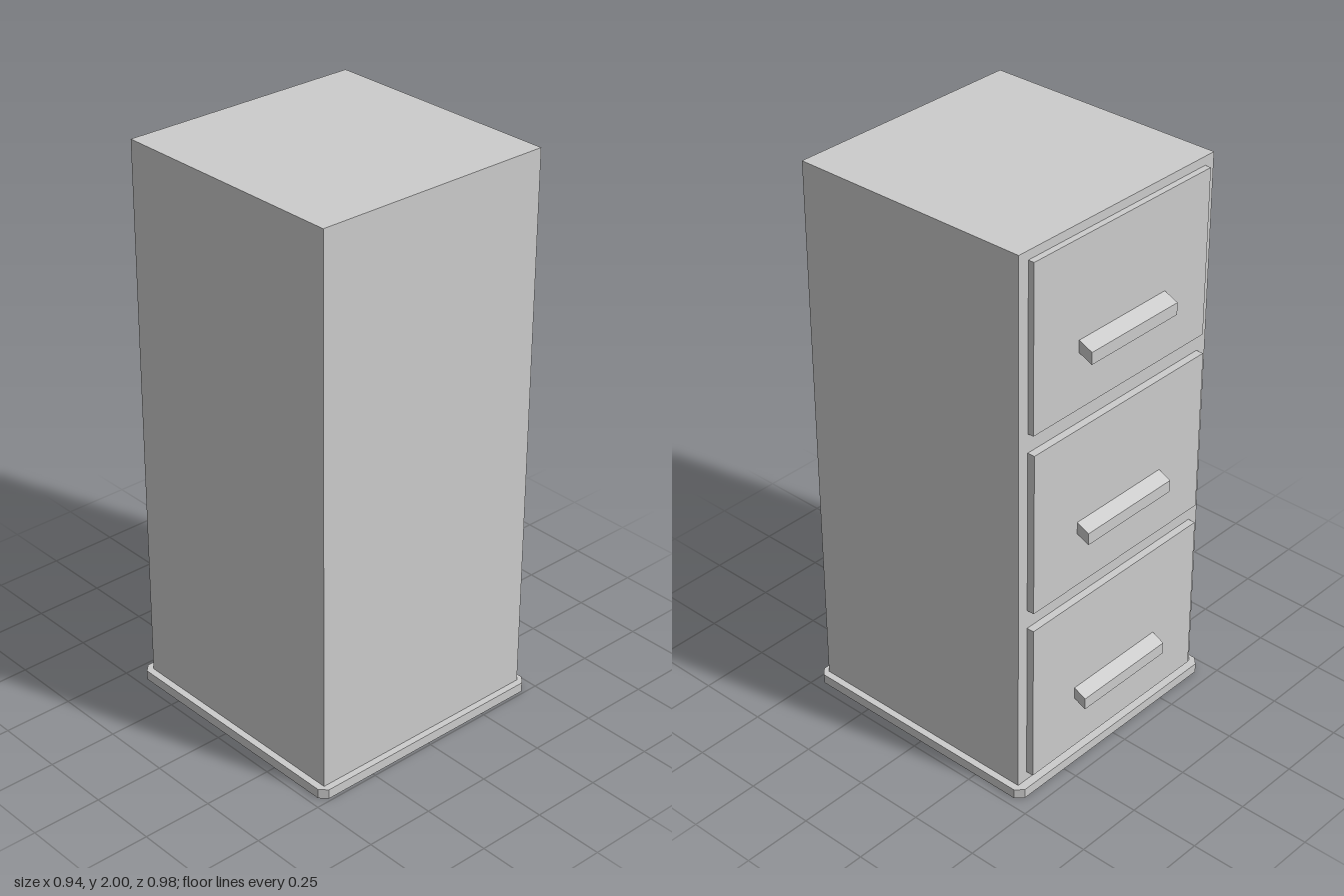
import * as THREE from 'three';

const material = new THREE.MeshStandardMaterial({ color: 0xcccccc, flatShading: true });

function addMesh(parent, name, geometry) {
  const mesh = new THREE.Mesh(geometry, material);
  mesh.name = name;
  parent.add(mesh);
  return mesh;
}

// Box given by its lower and upper limits on each axis
function addBox(parent, name, [x0, x1], [y0, y1], [z0, z1]) {
  const mesh = addMesh(parent, name, new THREE.BoxGeometry(x1 - x0, y1 - y0, z1 - z0));
  mesh.position.set((x0 + x1) / 2, (y0 + y1) / 2, (z0 + z1) / 2);
  return mesh;
}

// Flat plinth with its four corners cut off
function plinthGeometry(halfX, halfZ, cut, height) {
  const shape = new THREE.Shape([
    [halfX, -halfZ + cut], [halfX, halfZ - cut], [halfX - cut, halfZ], [-halfX + cut, halfZ],
    [-halfX, halfZ - cut], [-halfX, -halfZ + cut], [-halfX + cut, -halfZ], [halfX - cut, -halfZ],
  ].map(([x, y]) => new THREE.Vector2(x, y)));
  return new THREE.ExtrudeGeometry(shape, { depth: height, bevelEnabled: false }).rotateX(-Math.PI / 2);
}

// Bar whose outer end droops: box sheared in y along its depth
function handleGeometry(width, height, depth, droop) {
  const geometry = new THREE.BoxGeometry(width, height, depth);
  const p = geometry.attributes.position;
  for (let i = 0; i < p.count; i++) p.setY(i, p.getY(i) + (p.getZ(i) / depth) * droop);
  geometry.computeVertexNormals();
  return geometry;
}

export function createModel() {
  const group = new THREE.Group();
  group.name = 'drawerCabinet';

  // Plinth and carcass
  addMesh(group, 'plinth', plinthGeometry(0.468, 0.469, 0.025, 0.035)).position.z = 0.021;
  addBox(group, 'carcass', [-0.443, 0.443], [0.005, 2], [-0.418, 0.466]);

  // Three drawers on the -z side, each with a handle
  const drawers = [
    { name: 'bottomDrawer', y: [0.067, 0.656], face: -0.445, handleY: 0.279 },
    { name: 'middleDrawer', y: [0.725, 1.313], face: -0.445, handleY: 0.936 },
    { name: 'topDrawer', y: [1.381, 1.969], face: -0.44, handleY: 1.592 },
  ];
  for (const { name, y, face, handleY } of drawers) {
    const drawer = new THREE.Group();
    drawer.name = name;
    group.add(drawer);
    addBox(drawer, 'drawerFront', [-0.402, 0.402], y, [face, -0.417]);
    const reach = face + 0.491;
    addMesh(drawer, 'handle', handleGeometry(0.4, 0.043, reach, 0.022))
      .position.set(0, handleY, face - reach / 2);
  }
  return group;
}
